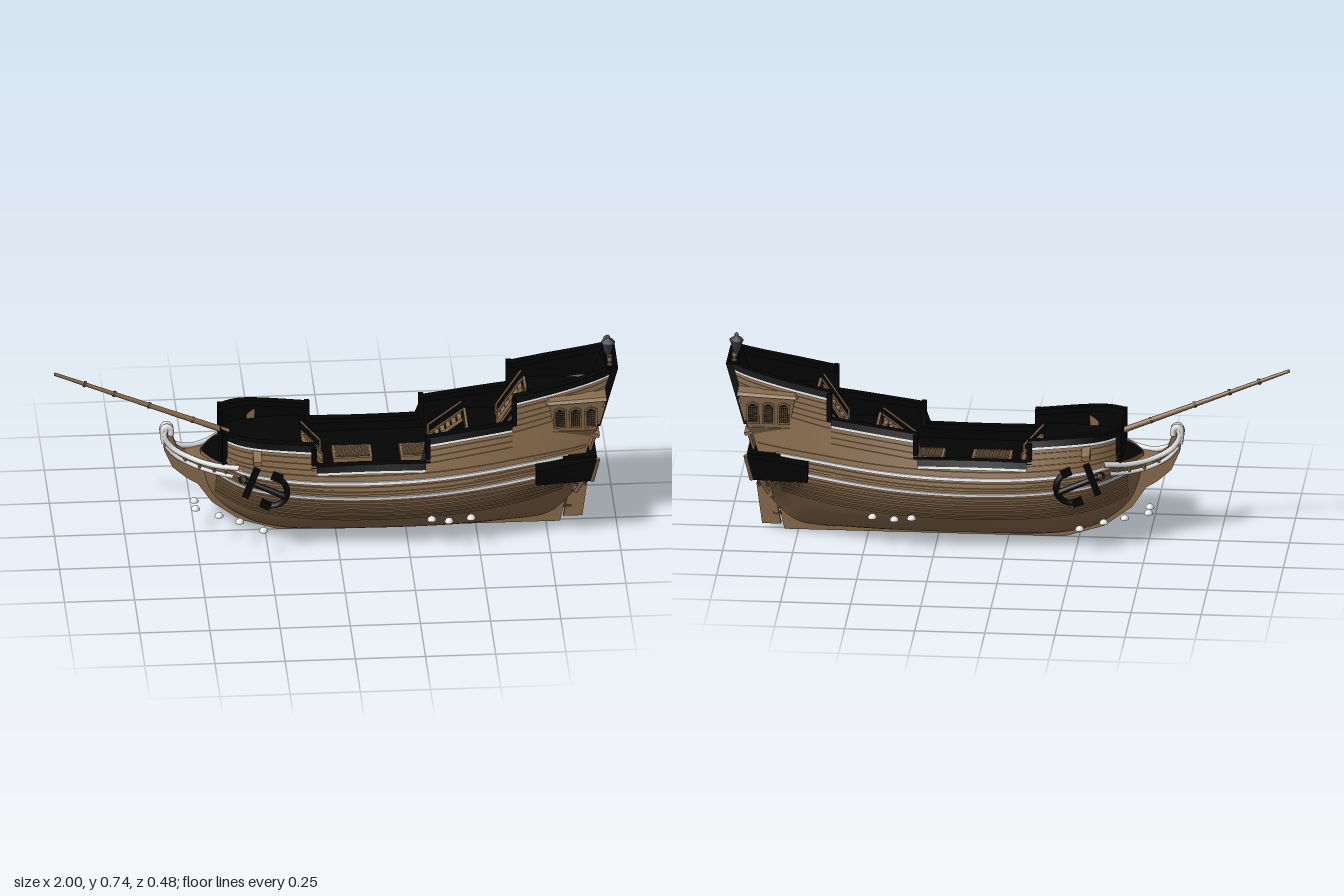
import * as THREE from 'three';

const mat = (name, color) => new THREE.MeshStandardMaterial({ name, color, side: THREE.DoubleSide });
const wood = mat('oak planking', 0x876a4b), dark = mat('dark carved timber', 0x53442f);
const black = mat('black paint', 0x040404), iron = mat('lantern iron', 0x3c3e44), white = mat('white paint', 0xe6e6e6);

// hull stations: x, keel height, fullness, half breadth, height of max breadth, tumblehome
const ST = [
  [-0.48, 0.26, 1.1, 0.008, 0.33, 0], [-0.45, 0.17, 1.2, 0.065, 0.33, 0], [-0.41, 0.12, 1.35, 0.115, 0.32, 0.1],
  [-0.35, 0.075, 1.5, 0.165, 0.3, 0.15], [-0.28, 0.042, 1.65, 0.19, 0.28, 0.2], [-0.15, 0.02, 1.8, 0.207, 0.26, 0.3],
  [0.1, 0.017, 1.85, 0.217, 0.24, 0.42], [0.35, 0.017, 1.85, 0.216, 0.24, 0.34], [0.55, 0.017, 1.65, 0.2, 0.245, 0.23],
  [0.7, 0.018, 1.25, 0.182, 0.25, 0.17], [0.78, 0.035, 0.95, 0.172, 0.245, 0.17], [0.84, 0.1, 0.95, 0.163, 0.235, 0.175]];
const END = 0.84, lerp = THREE.MathUtils.lerp;

// smooth interpolation of one station column
function param(u, c) {
  let i = 0;
  while (i < ST.length - 2 && u > ST[i + 1][0]) i++;
  const slope = (a, b) => (ST[b][c] - ST[a][c]) / (ST[b][0] - ST[a][0]);
  const h = ST[i + 1][0] - ST[i][0], t = (u - ST[i][0]) / h;
  const m0 = slope(Math.max(i - 1, 0), i + 1), m1 = slope(i, Math.min(i + 2, ST.length - 1));
  return (2 * t ** 3 - 3 * t * t + 1) * ST[i][c] + (t ** 3 - 2 * t * t + t) * h * m0
    + (3 * t * t - 2 * t ** 3) * ST[i + 1][c] + (t ** 3 - t * t) * h * m1;
}
function half(u, y) {
  const k = param(u, 1), p = param(u, 2), b = param(u, 3), m = param(u, 4);
  if (y <= k) return 0.004;
  if (y < m) return Math.max(0.004, b * (1 - (1 - (y - k) / (m - k)) ** p) ** (1 / p));
  const d = y - m;
  return b - param(u, 5) * d * d / (d + 0.04);
}
const hullX = (u, y) => u + 0.3 * THREE.MathUtils.smoothstep(u, 0.6, END) * Math.max(0, y - 0.2);
const sheer = u => 0.233 + (u < 0.1 ? 0.2 : 0.13) * (u - 0.1) ** 2;
function top(u) {
  if (u < -0.41) return 0.335;
  if (u < -0.08) return lerp(0.452, 0.418, (u + 0.41) / 0.33);
  if (u < 0.31) return 0.346;
  if (u < 0.62) return lerp(0.43, 0.475, (u - 0.31) / 0.31);
  return lerp(0.57, 0.655, ((u - 0.62) / 0.22) ** 1.2);
}
const span = (a, b, n) => Array.from({ length: n + 1 }, (_, i) => lerp(a, b, i / n));

// skin over rows of points
function loft(name, rows, m) {
  const w = rows[0].length, idx = [];
  for (let i = 0; i < rows.length - 1; i++) for (let j = 0; j < w - 1; j++) {
    const a = i * w + j, b = a + w;
    idx.push(a, b, a + 1, a + 1, b, b + 1);
  }
  const g = new THREE.BufferGeometry();
  g.setAttribute('position', new THREE.Float32BufferAttribute(rows.flat(2), 3));
  g.setIndex(idx);
  g.computeVertexNormals();
  return named(name, new THREE.Mesh(g, m));
}
function named(name, o) { o.name = name; return o; }
function box(name, w, h, d, x, y, z, m) {
  const o = named(name, new THREE.Mesh(new THREE.BoxGeometry(w, h, d), m));
  o.position.set(x, y, z);
  return o;
}
function rod(name, a, b, r0, r1, m, n = 8) {
  const A = new THREE.Vector3(...a), B = new THREE.Vector3(...b), d = B.clone().sub(A);
  const o = named(name, new THREE.Mesh(new THREE.CylinderGeometry(r1, r0, d.length(), n), m));
  o.position.copy(A).add(B).multiplyScalar(0.5);
  o.quaternion.setFromUnitVectors(new THREE.Vector3(0, 1, 0), d.normalize());
  return o;
}
function tube(name, pts, r, m) {
  const c = new THREE.CatmullRomCurve3(pts.map(p => new THREE.Vector3(...p)));
  return named(name, new THREE.Mesh(new THREE.TubeGeometry(c, 24, r, 6), m));
}
function plate(name, pts, depth, m, hole) {
  const v = l => l.map(p => new THREE.Vector2(...p));
  const s = new THREE.Shape(v(pts));
  if (hole) s.holes.push(new THREE.Path(v(hole)));
  return named(name, new THREE.Mesh(new THREE.ExtrudeGeometry(s, { depth, bevelEnabled: false }), m));
}
// six-sided block between two quads given as corner lists
function block(name, lo, hi, m) {
  const g = loft(name, [lo, hi].map(q => [...q, q[0]]), m);
  const geo = g.geometry, idx = [...geo.index.array, 0, 1, 2, 0, 2, 3, 5, 7, 6, 5, 8, 7];
  geo.setIndex(idx);
  g.geometry = geo.toNonIndexed();
  g.geometry.computeVertexNormals();
  return g;
}
// rectangular strip following both hull sides
function strake(group, name, u0, u1, yTop, h, inset, out, m) {
  for (const s of [1, -1]) {
    const rows = span(u0, u1, Math.max(8, Math.ceil((u1 - u0) * 50))).map(u => {
      const y = yTop(u), pt = (yy, o) => [hullX(u, yy), yy, s * Math.max(0.002, half(u, yy) + o)];
      return [pt(y, -inset), pt(y, out), pt(y - h, out), pt(y - h, -inset), pt(y, -inset)];
    });
    const o = loft(name, rows, m);
    o.geometry = o.geometry.toNonIndexed();
    o.geometry.computeVertexNormals();
    group.add(o);
  }
}
// framed lattice window facing +z
function windowPart(w, h, arch) {
  const g = named('window', new THREE.Group());
  const outline = (a, b, r) => [[-a, -b], [a, -b], [a, b - r], [a * 0.5, b - r * 0.25], [0, b], [-a * 0.5, b - r * 0.25], [-a, b - r]];
  g.add(plate('windowFrame', outline(w / 2, h / 2, arch), 0.008, wood));
  const pane = plate('windowPane', outline(w / 2 - 0.006, h / 2 - 0.006, arch), 0.001, black);
  pane.position.z = 0.008;
  g.add(pane);
  for (let i = 1; i < 5; i++) g.add(box('latticeBar', 0.003, h - 0.014 - arch, 0.003, lerp(-w / 2 + 0.005, w / 2 - 0.005, i / 5), -arch / 2, 0.01, dark));
  const n = Math.round(h / 0.01);
  for (let i = 1; i < n; i++) g.add(box('latticeBar', w - 0.012, 0.003, 0.003, 0, lerp(-h / 2, h / 2 - arch / 2, i / n), 0.01, dark));
  return g;
}
function ladder(x0, y0, x1, y1, z, w) {
  const g = named('ladder', new THREE.Group());
  for (const s of [-w / 2, w / 2]) {
    g.add(rod('ladderSide', [x0, y0, z + s], [x1, y1, z + s], 0.007, 0.007, wood, 4));
    g.add(rod('ladderRail', [x0, y0 + 0.04, z + s], [x1, y1 + 0.04, z + s], 0.004, 0.004, wood, 4));
    g.add(box('ladderPost', 0.007, 0.045, 0.007, x0, y0 + 0.022, z + s, wood));
  }
  for (let i = 0; i < 6; i++) g.add(box('ladderStep', 0.017, 0.005, w, lerp(x0, x1, (i + 0.5) / 6), lerp(y0, y1, (i + 0.5) / 6), z, wood));
  return g;
}

export function createModel() {
  const ship = named('sailingShipHull', new THREE.Group());
  const add = (...o) => ship.add(...o);
  const both = o => {
    const m = named(o.name + 'Mirrored', new THREE.Group());
    m.add(o.clone());
    m.scale.z = -1;
    add(o, m);
  };

  // hull shell and transom
  const us = [...span(-0.48, END, 90), ...[-0.41, -0.08, 0.31, 0.62].flatMap(s => [s - 0.0005, s + 0.0005])].sort((a, b) => a - b);
  const side = u => {
    const k = param(u, 1), m = Math.min(param(u, 4), top(u) - 0.002);
    const ys = [...span(0, 1, 16).map(t => lerp(k, m, t * t * (3 - 2 * t))), ...span(m, top(u), 8).slice(1)];
    return ys.map(y => [hullX(u, y), y, half(u, y)]);
  };
  const flip = r => r.map(([x, y, z]) => [x, y, -z]);
  add(loft('hull', us.map(u => [...flip(side(u)).reverse(), ...side(u)]), wood));
  add(loft('transom', [side(END), flip(side(END))], wood));

  // planking wales, white stripes, rails
  for (const o of [-0.1, -0.08, -0.06, -0.04, -0.02]) strake(ship, 'wale', -0.43, 0.8, u => sheer(u) + o, 0.011, 0.005, 0.005, wood);
  for (const o of [0.02, 0.037, 0.076]) strake(ship, 'wale', -0.4, 0.83, u => sheer(u) + o, 0.01, 0.005, 0.005, wood);
  strake(ship, 'lowerStripe', -0.44, 0.78, sheer, 0.011, 0.005, 0.007, white);
  strake(ship, 'upperStripe', -0.4, 0.78, u => sheer(u) + 0.056, 0.011, 0.005, 0.007, white);
  for (const [a, b, n] of [[-0.41, -0.081, 3], [-0.079, 0.309, 0], [0.311, 0.619, 3], [0.621, END, 5]]) {
    strake(ship, 'rail', a, b, u => top(u) + 0.004, 0.023, 0.02, 0.009, black);
    strake(ship, 'railStripe', a, b, u => top(u) - 0.019, 0.01, 0.005, 0.006, white);
    for (let i = 0; i < n; i++) strake(ship, 'upperWale', a, b, u => top(u) - 0.042 - i * 0.021, 0.011, 0.005, 0.004, wood);
  }
  for (const [u, a, b] of [[-0.088, 0.34, 0.418], [0.318, 0.34, 0.432], [0.628, 0.465, 0.572], [-0.402, 0.335, 0.452]])
    both(box('railEnd', 0.018, b - a, 0.026, u, (a + b) / 2, half(u, (a + b) / 2), black));

  // decks, inner bulwarks and bulkheads
  for (const [a, b, y] of [[-0.475, -0.41, 0.332], [-0.41, -0.12, 0.365], [-0.12, 0.46, 0.285], [0.46, 0.67, 0.375], [0.67, END, 0.51]]) {
    const cols = span(a, b, 24);
    add(loft('deck', cols.map(u => [-1, 1].map(s => [hullX(u, y), y, s * Math.max(0.002, half(u, y) - 0.006)])), black));
    if (a >= -0.41) for (const s of [-1, 1])
      add(loft('innerBulwark', cols.map(u => span(y, Math.max(y, top(u)), 3).map(v => [hullX(u, v), v, s * (half(u, v) - 0.012)])), black));
  }
  for (const [u, a, b] of [[-0.41, 0.33, 0.45], [-0.12, 0.285, 0.365], [0.46, 0.285, 0.375], [0.67, 0.375, 0.51], [0.825, 0.51, 0.65]])
    add(loft('bulkhead', span(a, b, 4).map(y => [-1, 1].map(s => [hullX(u, y), y, s * (half(u, y) - 0.006)])), black));

  // hatches, ladders, deck rails
  for (const [x, w] of [[0.06, 0.14], [0.3, 0.14]]) {
    add(box('hatchCoaming', w, 0.02, 0.1, x, 0.294, 0, wood));
    add(box('hatchGrating', w - 0.02, 0.004, 0.08, x, 0.304, 0, dark));
    for (let i = 1; i < 12; i++) add(box('gratingBar', 0.005, 0.004, 0.08, x - w / 2 + i * w / 12, 0.307, 0, wood));
  }
  add(ladder(-0.05, 0.285, -0.12, 0.365, 0, 0.1));
  for (const z of [-0.11, 0.11]) add(ladder(0.34, 0.285, 0.46, 0.375, z, 0.06), ladder(0.58, 0.375, 0.67, 0.51, z * 0.7, 0.06));
  for (const [x, y, w] of [[0.465, 0.375, 0.15], [0.675, 0.51, 0.09]]) {
    add(box('deckRail', 0.01, 0.008, w, x, y + 0.045, 0, wood));
    for (let i = 0; i < 7; i++) add(box('deckRailPost', 0.007, 0.045, 0.007, x, y + 0.022, lerp(-w / 2, w / 2, i / 6), wood));
  }

  // keel, stem, rudder
  const stem = plate('keelAndStem', [[0.8, 0.002], [0.86, 0.27], [0.82, 0.27], [0.8, 0.15], [0.72, 0.025], [-0.15, 0.025], [-0.3, 0.07], [-0.4, 0.15], [-0.44, 0.3],
    [-0.52, 0.315], [-0.565, 0.35], [-0.585, 0.41], [-0.6, 0.44], [-0.622, 0.42], [-0.61, 0.34], [-0.58, 0.27], [-0.53, 0.225], [-0.49, 0.2], [-0.44, 0.125], [-0.34, 0.05], [-0.2, 0.006]], 0.022, wood);
  stem.position.z = -0.011;
  const rudder = plate('rudder', [[0.812, 0.02], [0.88, 0.02], [0.9, 0.17], [0.885, 0.19], [0.888, 0.27], [0.862, 0.27]], 0.018, wood);
  rudder.position.z = -0.009;
  add(stem, rudder);
  for (const y of [0.06, 0.12, 0.18, 0.23]) add(box('rudderHinge', 0.03, 0.008, 0.025, 0.82 + (y - 0.02) * 0.16, y, 0, dark));

  // beak head with white curling rails
  both(tube('headRail', [[-0.6, 0.435, 0.008], [-0.61, 0.4, 0.014], [-0.583, 0.355, 0.02], [-0.52, 0.325, 0.045], [-0.44, 0.32, 0.1], [-0.35, 0.34, 0.17]], 0.011, white));
  both(tube('lowerHeadRail', [[-0.605, 0.36, 0.014], [-0.57, 0.32, 0.018], [-0.51, 0.29, 0.035], [-0.44, 0.285, 0.085], [-0.37, 0.3, 0.155]], 0.008, white));
  both(tube('headCurl', [[-0.585, 0.4, 0.01], [-0.588, 0.425, 0.01], [-0.603, 0.432, 0.01], [-0.614, 0.42, 0.01], [-0.61, 0.37, 0.01]], 0.012, white));
  for (const [x, y, z] of [[-0.54, 0.335, 0.036], [-0.49, 0.32, 0.063], [-0.44, 0.32, 0.1], [-0.4, 0.33, 0.135]])
    both(rod('headTimber', [x, y, z], [x + 0.005, y - 0.04, z - 0.012], 0.006, 0.006, wood, 6));
  add(block('beakFloor', [[-0.58, 0.315, -0.008], [-0.58, 0.315, 0.008], [-0.43, 0.3, 0.08], [-0.43, 0.3, -0.08]],
    [[-0.58, 0.325, -0.008], [-0.58, 0.325, 0.008], [-0.43, 0.315, 0.08], [-0.43, 0.315, -0.08]], wood));
  both(block('cathead', [[-0.275, 0.365, 0.16], [-0.305, 0.365, 0.16], [-0.305, 0.368, 0.212], [-0.275, 0.368, 0.212]],
    [[-0.275, 0.412, 0.16], [-0.305, 0.412, 0.16], [-0.305, 0.385, 0.212], [-0.275, 0.385, 0.212]], wood));

  // bowsprit
  const sprit = t => [lerp(-0.38, -1, t), lerp(0.4, 0.655, t), 0];
  add(rod('bowsprit', sprit(0), sprit(1), 0.011, 0.006, wood, 10));
  for (const t of [0.2, 0.45, 0.65, 0.82]) add(rod('bowspritBand', sprit(t), sprit(t + 0.012), 0.012, 0.011, dark, 10));

  // anchors
  const anchor = named('anchor', new THREE.Group());
  anchor.add(rod('anchorShank', [-0.075, 0, 0], [0.075, 0, 0], 0.01, 0.012, black), box('anchorStock', 0.024, 0.12, 0.02, -0.055, 0, 0, black));
  const arms = named('anchorArms', new THREE.Mesh(new THREE.TorusGeometry(0.06, 0.011, 6, 16, 2.8), black));
  arms.rotation.z = -1.4;
  arms.position.x = 0.018;
  const ring = named('anchorRing', new THREE.Mesh(new THREE.TorusGeometry(0.014, 0.004, 6, 12), black));
  ring.position.x = -0.085;
  anchor.add(arms, ring);
  for (const s of [1, -1]) anchor.add(box('anchorFluke', 0.038, 0.024, 0.024, 0.022, s * 0.06, 0, black));
  anchor.position.set(-0.262, 0.273, 0.203);
  anchor.rotation.set(0, -0.22, -0.35);
  both(anchor);

  // lower stern gallery with support timbers
  add(block('sternGallery', [[0.8, 0.25, -0.18], [0.8, 0.25, 0.18], [0.895, 0.25, 0.18], [0.895, 0.25, -0.18]],
    [[0.8, 0.345, -0.18], [0.8, 0.345, 0.18], [0.92, 0.345, 0.18], [0.92, 0.345, -0.18]], black));
  both(block('sideGalleryDeck', [[0.7, 0.255, 0.16], [0.7, 0.255, 0.215], [0.905, 0.248, 0.18], [0.905, 0.248, 0.15]],
    [[0.7, 0.325, 0.15], [0.7, 0.325, 0.24], [0.92, 0.345, 0.205], [0.92, 0.345, 0.15]], black));
  both(rod('galleryCornerPost', [0.902, 0.248, 0.18], [0.922, 0.348, 0.202], 0.008, 0.008, wood, 4));
  for (const z of [0.04, 0.08, 0.12, 0.15]) both(rod('sternBracket', [0.845, 0.185, z * 0.95], [0.885, 0.25, z], 0.006, 0.006, wood, 4));
  for (let i = 0; i < 6; i++) {
    const x = 0.73 + i * 0.03;
    both(rod('sideBracket', [x, 0.205, half(Math.min(x, 0.82), 0.205) - 0.004], [x, 0.26, 0.205 - i * 0.005], 0.005, 0.006, wood, 4));
  }

  // stern face, laid out in its own raked plane
  const face = named('sternFace', new THREE.Group()), L = y => (y - 0.2) * 1.044;
  face.applyMatrix4(new THREE.Matrix4().makeBasis(new THREE.Vector3(0, 0, -1), new THREE.Vector3(0.287, 0.958, 0), new THREE.Vector3(0.958, -0.287, 0)).setPosition(END, 0.2, 0));
  const quad = (a, y0, b, y1) => [[-a, L(y0)], [a, L(y0)], [b, L(y1)], [-b, L(y1)]];
  face.add(plate('sternFrame', quad(0.117, 0.44, 0.094, 0.66), 0.025, black, quad(0.098, 0.465, 0.083, 0.622)));
  const put = (o, x, y, z) => { o.position.set(x, L(y), z); face.add(o); };
  for (const x of [-0.058, 0, 0.058]) put(windowPart(0.045, x ? 0.085 : 0.098, 0.014), x, x ? 0.508 : 0.514, 0.003);
  for (const x of [-0.086, -0.029, 0.029, 0.086]) put(box('sternLight', 0.016, 0.026, 0.004, 0, 0, 0, white), x, 0.522, 0.002);
  for (const x of [-0.112, -0.056, 0, 0.056, 0.112]) put(windowPart(0.048, 0.056, 0), x, 0.378, 0.01);
  for (const x of [-0.084, -0.028, 0.028, 0.084]) put(box('sternPilaster', 0.009, 0.09, 0.022, 0, 0, 0, wood), x, 0.39, 0.012);
  put(box('counterMoulding', 0.28, 0.012, 0.03, 0, 0, 0, wood), 0, 0.412, 0.014);
  for (const s of [1, -1]) {
    const scroll = [[0, 0.59], [0.02, 0.578], [0.036, 0.6], [0.05, 0.585], [0.062, 0.572], [0.068, 0.585], [0.06, 0.592]];
    face.add(tube('carvedScroll', scroll.map(([x, y]) => [s * x, L(y), 0.006]), 0.005, dark));
    face.add(tube('carvedLeaf', [[0, L(0.595), 0.006], [s * 0.02, L(0.61), 0.006], [s * 0.07, L(0.612), 0.006]], 0.005, dark));
  }
  const crest = named('carvedCrest', new THREE.Mesh(new THREE.SphereGeometry(0.02, 10, 6), dark));
  crest.scale.set(0.8, 1, 0.4);
  put(crest, 0, 0.592, 0.003);
  add(face);

  // windowed quarter galleries
  both(block('quarterGallery', [[0.77, 0.435, 0.13], [0.77, 0.435, 0.15], [0.918, 0.435, 0.15], [0.918, 0.435, 0.11]],
    [[0.75, 0.55, 0.138], [0.75, 0.55, 0.163], [0.95, 0.56, 0.163], [0.95, 0.56, 0.108]], wood));
  both(block('quarterGalleryRoof', [[0.74, 0.55, 0.138], [0.74, 0.55, 0.168], [0.957, 0.56, 0.168], [0.957, 0.56, 0.11]],
    [[0.75, 0.565, 0.138], [0.75, 0.56, 0.16], [0.955, 0.572, 0.16], [0.955, 0.58, 0.11]], wood));
  both(block('quarterGalleryBracket', [[0.8, 0.385, 0.12], [0.8, 0.385, 0.13], [0.88, 0.385, 0.13], [0.88, 0.385, 0.12]],
    [[0.765, 0.437, 0.13], [0.765, 0.437, 0.154], [0.922, 0.437, 0.154], [0.922, 0.437, 0.11]], wood));
  for (const x of [0.79, 0.845, 0.9]) {
    const w = windowPart(0.045, 0.085, 0.012);
    w.position.set(x, 0.495, 0.154);
    w.rotation.x = 0.12;
    both(w);
  }
  const rear = windowPart(0.044, 0.085, 0.012);
  rear.position.set(0.935, 0.503, 0.133);
  rear.rotation.set(0, Math.PI / 2, -0.27, 'ZYX');
  both(rear);

  // taffrail, finials and lantern
  add(box('taffrail', 0.03, 0.022, 0.19, 0.975, 0.65, 0, black));
  const lathe = (name, pts, x, y, z, m, n) => {
    const o = named(name, new THREE.Mesh(new THREE.LatheGeometry(pts.map(p => new THREE.Vector2(...p)), n), m));
    o.position.set(x, y, z);
    return o;
  };
  both(lathe('finial', [[0, 0], [0.01, 0], [0.01, 0.013], [0.005, 0.016], [0.01, 0.024], [0.01, 0.03], [0, 0.038]], 0.972, 0.655, 0.083, dark, 8));
  both(box('taffrailScroll', 0.02, 0.014, 0.02, 0.975, 0.664, 0.03, dark));
  add(lathe('sternLantern', [[0, 0], [0.014, 0], [0.008, 0.008], [0.014, 0.014], [0.022, 0.05], [0.026, 0.052], [0.024, 0.058], [0.01, 0.068], [0.006, 0.072], [0.008, 0.076], [0, 0.084]], 0.972, 0.655, 0, iron, 8));

  // floating foam domes
  const dome = new THREE.SphereGeometry(0.016, 12, 6, 0, Math.PI * 2, 0, Math.PI / 2);
  for (const [x, y, z] of [[-0.5, 0.107, 0.03], [-0.42, 0.107, 0.09], [-0.35, 0.107, 0.14], [-0.27, 0.107, 0.213], [0.33, 0.125, 0.205], [0.39, 0.125, 0.222], [0.47, 0.125, 0.203]]) {
    const d = named('foamDome', new THREE.Mesh(dome, white));
    d.position.set(x, y, z);
    both(d);
  }
  return ship;
}
